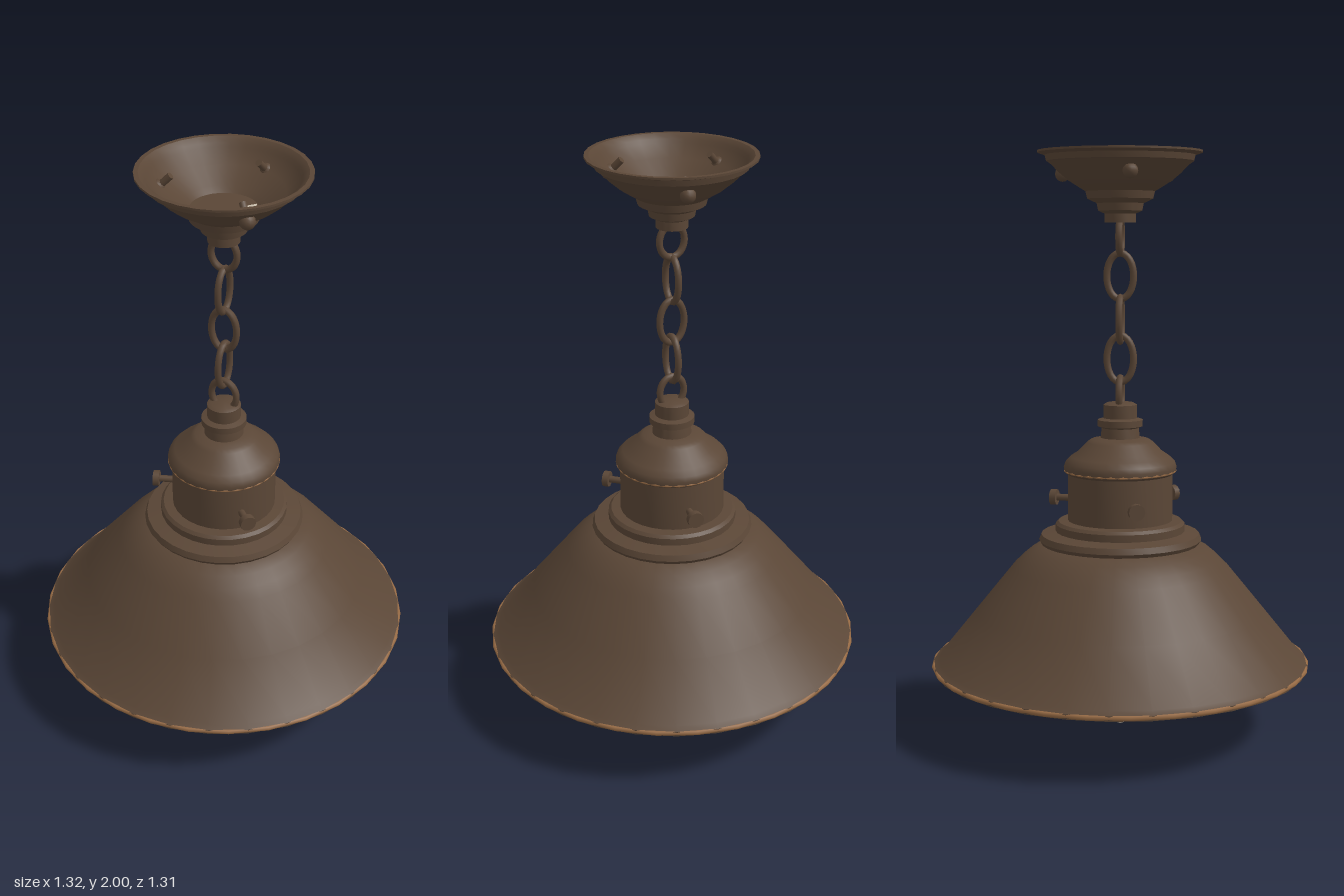
import * as THREE from 'three';
import { toCreasedNormals } from 'three/addons/utils/BufferGeometryUtils.js';

const bronze = new THREE.MeshStandardMaterial({ color: 0x5a4636, side: THREE.DoubleSide });
bronze.name = 'aged bronze';
const copper = new THREE.MeshStandardMaterial({ color: 0x976b45, side: THREE.DoubleSide });
copper.name = 'worn copper';
const white = new THREE.MeshStandardMaterial({ color: 0xcabfae, side: THREE.DoubleSide });
white.name = 'warm white';

const SEGMENTS = 30;

export function createModel() {
  const model = new THREE.Group();
  model.name = 'pendantLamp';

  const add = (name, geometry, material, parent = model) => {
    const mesh = new THREE.Mesh(geometry, material);
    mesh.name = name;
    parent.add(mesh);
    return mesh;
  };
  // Turned part from [radius, height] pairs, listed bottom to top on the outside
  const turned = (name, profile, material, crease = 0.6) => {
    const points = profile.map(([r, y]) => new THREE.Vector2(r, y));
    return add(name, toCreasedNormals(new THREE.LatheGeometry(points, SEGMENTS), crease), material);
  };

  // Ceiling canopy: hollow dish, open at the top
  turned('canopy', [
    [0, 1.76], [0.053, 1.76], [0.053, 1.79], [0.075, 1.8], [0.08, 1.825], [0.112, 1.84],
    [0.118, 1.865], [0.135, 1.875], [0.175, 1.9], [0.205, 1.925], [0.235, 1.955],
    [0.25, 1.965], [0.255, 1.985], [0.28, 1.993], [0.28, 2],
    [0.265, 2], [0.245, 1.985], [0.24, 1.972], [0.195, 1.932], [0.13, 1.888], [0.11, 1.872], [0, 1.868],
  ], bronze);

  // Worn bare patch on the canopy floor
  const patch = new THREE.Shape([
    [-0.075, -0.065], [-0.02, -0.015], [0.005, -0.025], [-0.005, -0.05], [0.06, -0.015],
    [0.105, -0.012], [0.09, -0.05], [0.04, -0.075], [0.01, -0.1], [-0.05, -0.098],
  ].map(([x, y]) => new THREE.Vector2(x, y)));
  const patchMesh = add('canopyPatch', new THREE.ShapeGeometry(patch), white);
  patchMesh.rotation.x = -Math.PI / 2;
  patchMesh.position.y = 1.876;

  // Three ball screws through the canopy wall
  for (let i = 0; i < 3; i++) {
    const screw = new THREE.Group();
    screw.name = 'canopyScrew';
    const ball = add('screwBall', new THREE.SphereGeometry(0.026, 12, 8), bronze, screw);
    ball.position.set(0, 1.925, 0.212);
    const shaft = add('screwShaft', new THREE.CylinderGeometry(0.012, 0.012, 0.07, 8), bronze, screw);
    shaft.position.set(0, 1.943, 0.193);
    shaft.rotation.x = -Math.PI / 4;
    screw.rotation.y = (i * Math.PI * 2) / 3;
    model.add(screw);
  }

  // Chain: oval links turned a quarter turn from one to the next
  const links = [[1.78, 1.645], [1.67, 1.49], [1.52, 1.345], [1.39, 1.205], [1.245, 1.11]];
  links.forEach(([top, bottom], i) => {
    const tube = 0.012;
    const halfHeight = (top - bottom) / 2 - tube;
    const path = new THREE.CatmullRomCurve3(
      Array.from({ length: 16 }, (_, k) => {
        const a = (k / 16) * Math.PI * 2;
        return new THREE.Vector3(0.046 * Math.cos(a), halfHeight * Math.sin(a), 0);
      }), true);
    const link = add('chainLink', new THREE.TubeGeometry(path, 28, tube, 8, true), bronze);
    link.position.y = (top + bottom) / 2;
    link.rotation.y = (i % 2 ? 1 : -1) * Math.PI / 4;
  });

  // Neck, domed cap, collar and stepped gallery
  turned('lampCap', [
    [0.25, 0.655], [0.275, 0.657], [0.283, 0.67], [0.275, 0.69], [0.225, 0.7], [0.225, 0.725], [0.215, 0.735],
    [0.182, 0.738], [0.182, 0.9], [0.194, 0.908], [0.196, 0.925], [0.19, 0.942], [0.172, 0.96],
    [0.145, 0.978], [0.115, 1.01], [0.1, 1.02], [0.068, 1.026], [0.064, 1.06], [0.078, 1.066],
    [0.078, 1.088], [0.058, 1.094], [0.058, 1.14], [0.045, 1.147], [0, 1.147],
  ], bronze);

  // Worn edges
  const wornRing = (name, radius, y, tube) => {
    const ring = add(name, new THREE.TorusGeometry(radius, tube, 6, SEGMENTS), copper);
    ring.rotation.x = Math.PI / 2;
    ring.position.y = y;
  };
  wornRing('collarEdge', 0.192, 0.912, 0.004);

  // Three thumbscrews around the collar
  for (const [x, z] of [[0, 0.24], [-0.215, -0.105], [0.195, -0.14]]) {
    const screw = new THREE.Group();
    screw.name = 'thumbscrew';
    const parts = [
      ['screwShaft', 0.012, 0.08, 0.2],
      ['screwHead', 0.028, 0.022, 0.241],
    ];
    for (const [name, radius, length, distance] of parts) {
      const part = add(name, new THREE.CylinderGeometry(radius, radius, length, 12), bronze, screw);
      part.rotation.x = Math.PI / 2;
      part.position.z = distance;
    }
    screw.position.y = 0.805;
    screw.rotation.y = Math.atan2(x, z);
    model.add(screw);
  }

  // Conical shade with a thin wall and a rolled rim
  turned('shade', [
    [0.645, 0.225], [0.655, 0.226], [0.655, 0.243], [0.635, 0.255], [0.5, 0.422], [0.375, 0.576],
    [0.345, 0.606], [0.31, 0.635], [0.26, 0.66], [0, 0.66],
  ], bronze);
  turned('shadeLining', [
    [0, 0.645], [0.255, 0.645], [0.335, 0.595], [0.365, 0.57], [0.49, 0.415], [0.625, 0.25], [0.645, 0.225],
  ], bronze);
  wornRing('shadeRim', 0.652, 0.236, 0.009);

  // Pale reflector under the top of the shade
  turned('reflector', [[0.335, 0.582], [0, 0.586]], white);

  // Lamp socket and bulb
  turned('socket', [[0.174, 0.29], [0.174, 0.584]], bronze);
  turned('bulb', [
    [0, 0], [0.012, 0.004], [0.025, 0.016], [0.05, 0.028], [0.09, 0.044], [0.125, 0.07], [0.15, 0.105],
    [0.168, 0.15], [0.175, 0.2], [0.176, 0.292], [0, 0.292],
  ], white, 0.9);

  return model;
}
